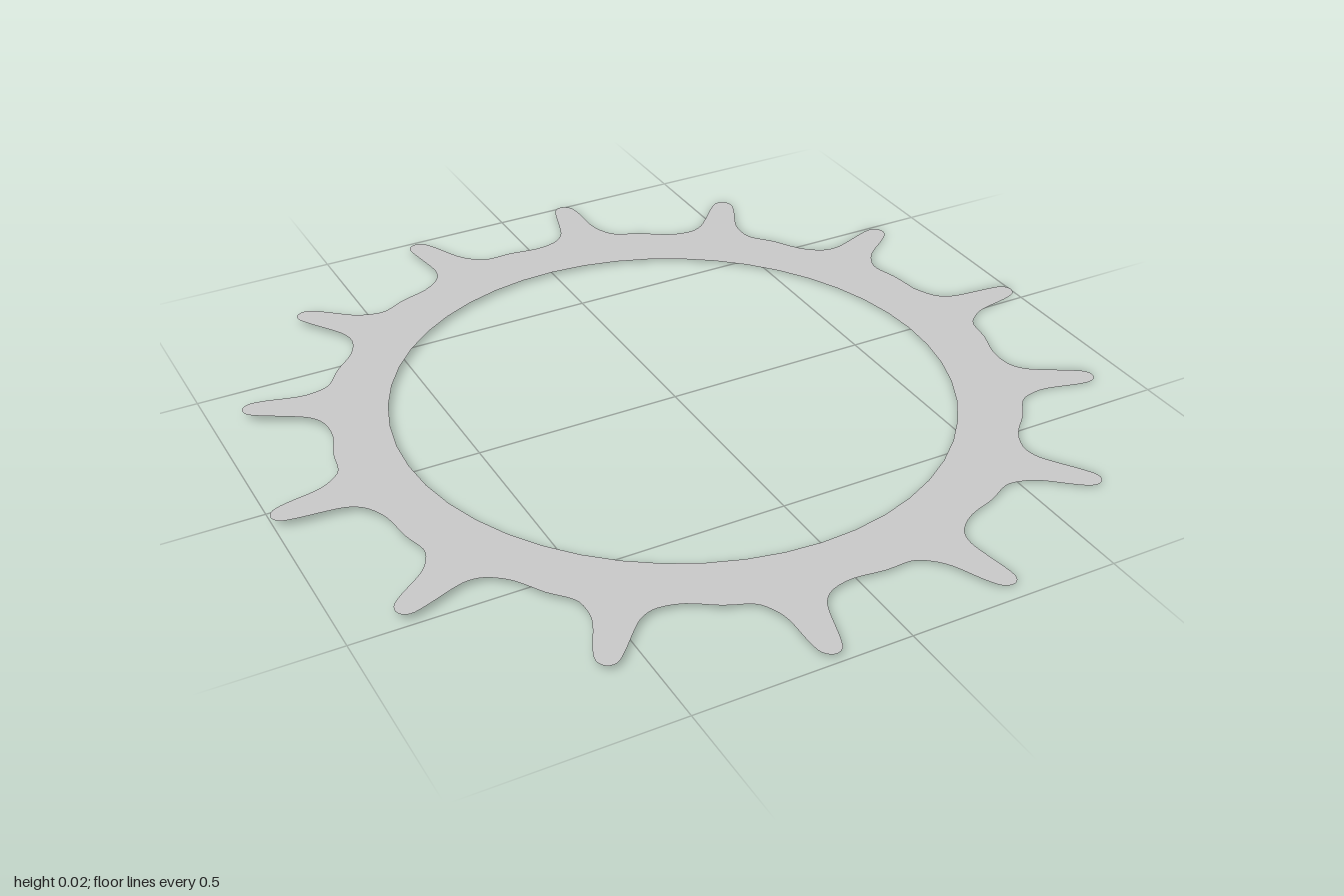
import * as THREE from 'three';

const TEETH = 14;
const FIRST_TOOTH = 3; // degrees
const TILT = 0.0115;   // slight lean of the flat ring along x

// One tooth and the valley after it: [degrees from the tooth axis, radius]
const TOOTH = [
  [8.9, 0.80], [5.0, 0.815], [3.1, 0.844], [2.3, 0.884], [1.6, 0.955], [1.0, 0.992],
  [-0.2, 1.004], [-1.5, 0.992], [-2.3, 0.955], [-3.3, 0.88], [-4.8, 0.84],
  [-7.0, 0.815], [-11.5, 0.81],
];

const polar = (degrees, r) => {
  const a = THREE.MathUtils.degToRad(degrees);
  return new THREE.Vector2(Math.cos(a) * r, Math.sin(a) * r);
};

export function createModel() {
  const group = new THREE.Group();
  group.name = 'toothedRing';

  // Outer outline: the tooth repeated around the ring, smoothed
  const points = [];
  for (let i = 0; i < TEETH; i++) {
    const axis = FIRST_TOOTH - (i * 360) / TEETH;
    for (const [offset, r] of TOOTH) points.push(polar(axis + offset, r));
  }
  points.push(points[0].clone());
  const outline = new THREE.SplineCurve(points).getPoints((points.length - 1) * 3);
  outline.pop();
  const shape = new THREE.Shape(outline);

  // Round opening
  const hole = new THREE.Path();
  hole.absarc(-0.005, 0, 0.664, 0, Math.PI * 2, false);
  shape.holes.push(hole);

  // Lay the sheet flat, then lean it slightly
  const geometry = new THREE.ShapeGeometry(shape, 24);
  geometry.rotateX(-Math.PI / 2);
  const pos = geometry.attributes.position;
  for (let i = 0; i < pos.count; i++) pos.setY(i, TILT * (1 - pos.getX(i)));
  geometry.computeVertexNormals();

  const ring = new THREE.Mesh(
    geometry,
    new THREE.MeshStandardMaterial({ color: 0xcccccc, side: THREE.DoubleSide })
  );
  ring.name = 'toothedRingSheet';
  group.add(ring);
  return group;
}
